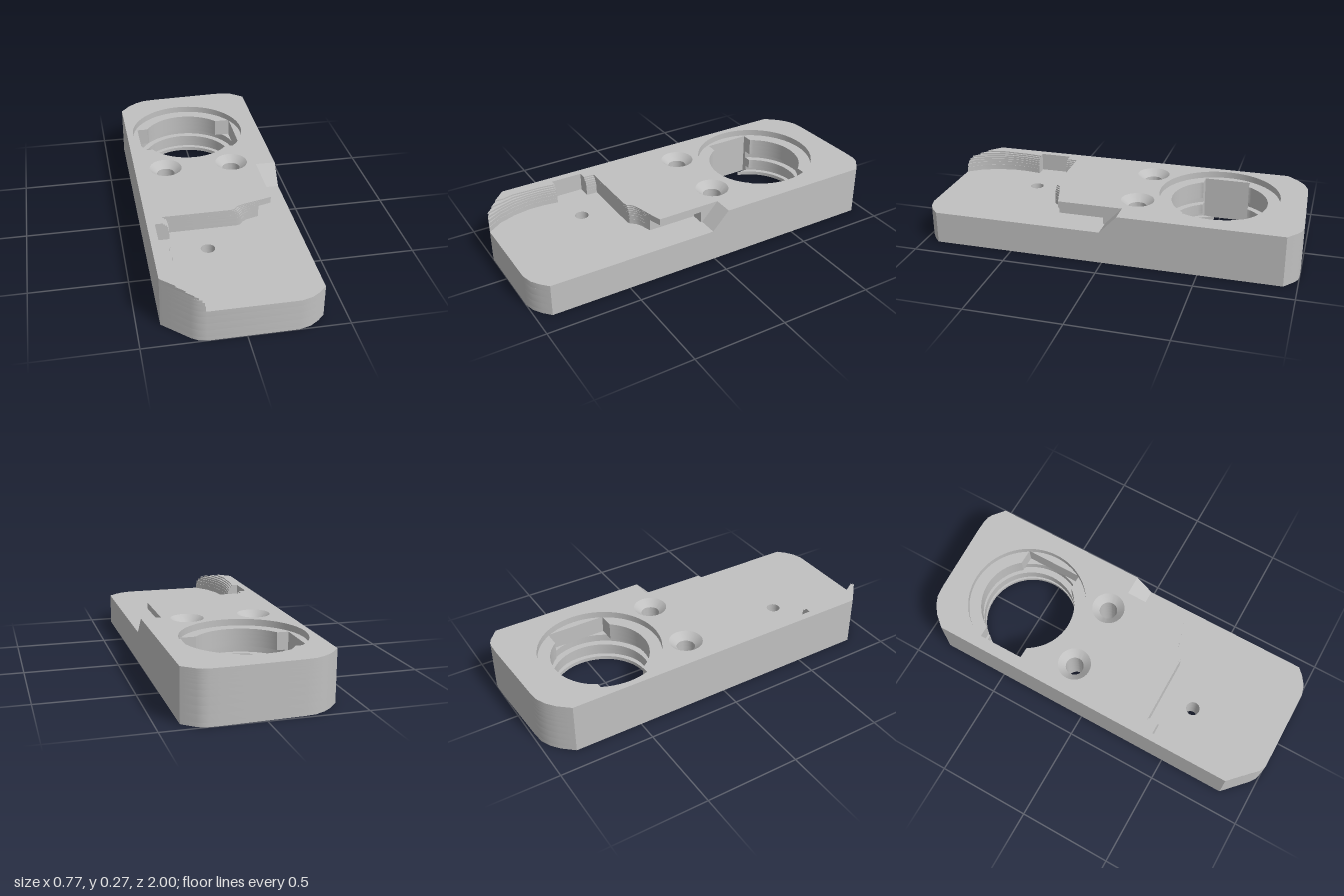
import * as THREE from 'three';
import { toCreasedNormals } from 'three/addons/utils/BufferGeometryUtils.js';

const CX = -0.033, CZ = -0.534, R = 0.255;

// Plan outline as [x, z], clockwise seen from above, starting at the back left edge of the plan
const BACK = [[-0.387, -0.86], [-0.335, -0.92], [-0.29, -0.955], [-0.24, -0.978], [-0.18, -0.985],
  [0.2, -1], [0.27, -1], [0.3, -0.995], [0.325, -0.982], [0.387, -0.93]];
const OUTLINE = [...BACK, [0.387, 0.92], [0.35, 0.955], [0.305, 0.985], [0.25, 1],
  [-0.19, 1], [-0.23, 0.99], [-0.26, 0.97], [-0.387, 0.85]];

// Outline shrunk by a fixed margin
const inset = (d) => OUTLINE.map(([x, z]) => [x * (1 - d / 0.387), z * (1 - d)]);

function circle(x, z, r, n = 48) {
  return Array.from({ length: n }, (_, i) => {
    const a = (i / n) * Math.PI * 2;
    return [x + r * Math.cos(a), z + r * Math.sin(a)];
  });
}

// Round bore with a rectangular slot on the left and optionally a notch on the right
function notchedBore(r, slotInner, rightNotch) {
  const pts = [];
  const half = 0.125, rightHalf = 0.16;
  const aR = rightNotch ? Math.asin(rightHalf / r) : 0;
  const aL = Math.acos((CX - slotInner) / r);
  const arc = (from, to) => {
    for (let i = 0; i <= 24; i++) {
      const a = from + (to - from) * i / 24;
      pts.push([CX + r * Math.cos(a), CZ + r * Math.sin(a)]);
    }
  };
  arc(aR, Math.PI - aL);
  pts.push([slotInner, CZ + half + 0.001], [-0.315, CZ + half], [-0.315, CZ - half], [slotInner, CZ - half - 0.001]);
  arc(Math.PI + aL, 2 * Math.PI - aR - (rightNotch ? 0 : 0.05));
  if (rightNotch) pts.push([0.25, CZ - rightHalf], [0.25, CZ + rightHalf]);
  return pts;
}

export function createModel() {
  const group = new THREE.Group();
  const grey = new THREE.MeshStandardMaterial({ color: 0xc0c0c0, side: THREE.DoubleSide });
  grey.name = 'grey';
  const toVec = (pts) => pts.map(([x, z]) => new THREE.Vector2(x, -z));

  function add(name, geometry) {
    const mesh = new THREE.Mesh(toCreasedNormals(geometry, 0.65), grey);
    mesh.name = name;
    group.add(mesh);
  }

  // Horizontal slab between two heights
  function slab(name, y0, y1, pts, holes) {
    const shape = new THREE.Shape(toVec(pts));
    holes.forEach((h) => shape.holes.push(new THREE.Path(toVec(h))));
    const g = new THREE.ExtrudeGeometry(shape, { depth: y1 - y0, bevelEnabled: false });
    g.rotateX(-Math.PI / 2);
    g.translate(0, y0, 0);
    add(name, g);
  }

  const screws = [[-0.217, -0.13], [0.15, -0.13]];
  const screwHoles = (r) => screws.map(([x, z]) => circle(x, z, r, 32));
  const pin = circle(-0.1, 0.525, 0.036, 24);
  const drilled = [...screwHoles(0.048), pin];
  const slotBore = notchedBore(R, -0.28, false);
  const wideBore = notchedBore(R, -0.254, true);

  // Stepped outer rim, separated from the bottom panel by a channel
  slab('bottomRim', 0, 0.02, OUTLINE, [inset(0.022)]);
  slab('innerRim', 0.02, 0.06, OUTLINE, [inset(0.042)]);

  // Bottom panel, its bore widened by a shallow groove
  const panel = inset(0.066);
  slab('bottomPanel', 0, 0.02, panel, [slotBore, ...drilled]);
  slab('panelGroove', 0.02, 0.045, panel, [notchedBore(0.28, -0.284, false), ...drilled]);
  slab('panelTop', 0.045, 0.06, panel, [notchedBore(R, -0.254, false), ...drilled]);

  // Main body with a retaining groove, up to the lower deck
  slab('bodyLower', 0.06, 0.1, OUTLINE, [notchedBore(R, -0.254, false), ...drilled]);
  slab('bodyGroove', 0.1, 0.14, OUTLINE, [notchedBore(0.29, -0.295, false), ...drilled]);
  slab('lowerDeck', 0.14, 0.172, OUTLINE, [wideBore, ...drilled]);

  // Raised block: the cavity edge rolls outward in steps toward the top
  const levels = [0.172, 0.2, 0.22, 0.235, 0.246, 0.255, 0.263, 0.27];
  const frontX = [-0.195, -0.2, -0.21, -0.225, -0.245, -0.28, -0.318];
  frontX.forEach((fx, i) => {
    const y0 = levels[i], y1 = levels[i + 1];
    const t = (-0.195 - fx) / 0.123;
    const fz = fx > -0.23 ? 1 - (-0.19 - fx) * 0.25 : Math.min(0.985, 0.97 + (fx + 0.26) * 0.945);
    const d = 0.03 * t;
    const low = y1 < 0.236;
    const rightWall = low
      ? [[0.28, -0.08], [0.28, 0.02], [0.21, 0.02], [0.21, 0.285]]
      : [[0.28, -0.08], [0.28, 0.265], [0.23, 0.28]];
    const pts = [...BACK, [0.387, -0.08], ...rightWall,
      [0.145 - d * 0.5, 0.305], [0.12 - d, 0.32], [0.1 - d, 0.345], [0.08 - d, 0.35],
      [-0.272 - d, 0.352], [-0.275 - d, 0.41], [-0.347, 0.41], [-0.347, 0.58], [-0.285 - d, 0.58],
      [-0.296 - d, 0.66], [-0.297 - d, 0.74], [-0.282 - d * 1.6, 0.83 - 0.02 * t],
      [-0.25 - d * 2.2, 0.92 - 0.05 * t], [fx, fz],
      ...(fx > -0.225 ? [[-0.23, 0.99]] : []), ...(fx > -0.255 ? [[-0.26, 0.97]] : []), [-0.387, 0.85]];
    const bore = low ? wideBore : circle(CX, CZ, 0.32, 72);
    slab('raisedBlockLayer' + (i + 1), y0, y1, pts, [bore, ...screwHoles(low ? 0.048 : 0.088)]);
  });

  // Countersinks for the two screw holes
  screws.forEach(([x, z]) => {
    const cone = new THREE.CylinderGeometry(0.088, 0.048, 0.035, 32, 1, true);
    cone.translate(x, 0.2525, z);
    add('countersink', cone);
  });

  // Sloped end of the side ledge
  const ramp = new THREE.Shape([[0.08, 0.172], [0.08, 0.27], [-0.012, 0.172]]
    .map(([u, v]) => new THREE.Vector2(u, v)));
  const rg = new THREE.ExtrudeGeometry(ramp, { depth: 0.107, bevelEnabled: false });
  rg.rotateY(Math.PI / 2);
  rg.translate(0.28, 0, 0);
  add('ramp', rg);

  return group;
}
